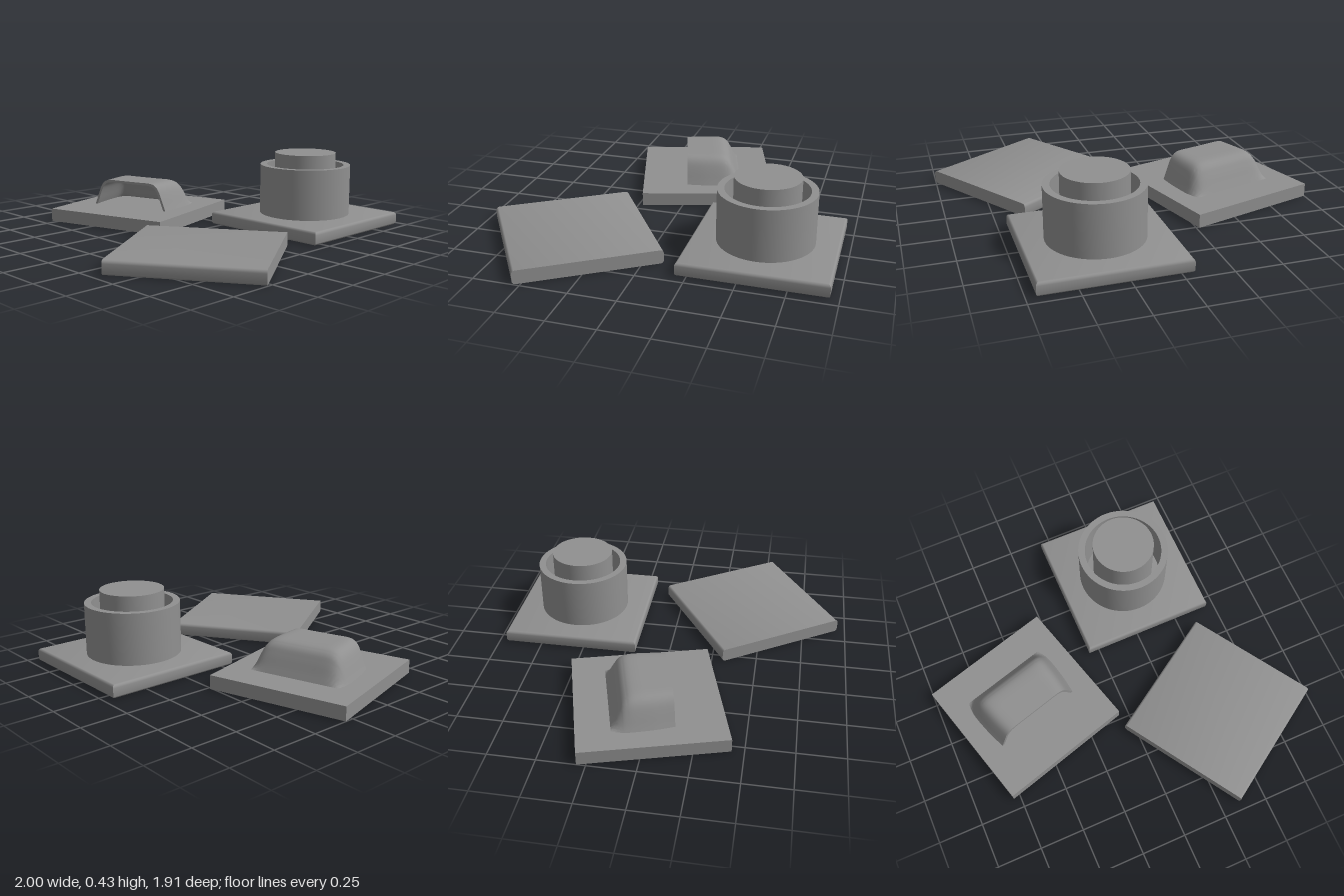
import * as THREE from 'three';
import { toCreasedNormals } from 'three/addons/utils/BufferGeometryUtils.js';

const SIZE = 0.764, THICK = 0.075;
const material = new THREE.MeshStandardMaterial({ color: 0x909090 });

function add(group, name, geometry) {
  const mesh = new THREE.Mesh(geometry, material);
  mesh.name = name;
  group.add(mesh);
  return mesh;
}

// Square slab; rx / rz round the edges on its x / z sides, with mitred corners
function slab(rx, rz) {
  const r = Math.max(rx, rz);
  if (!r) return new THREE.BoxGeometry(SIZE, THICK, SIZE).translate(0, THICK / 2, 0);
  const rows = 11;
  const geo = new THREE.BoxGeometry(SIZE, THICK, SIZE, 1, rows, 1);
  const p = geo.attributes.position;
  for (let i = 0; i < p.count; i++) {
    const row = Math.round((p.getY(i) / THICK + 0.5) * rows);
    const upper = row > 5;
    const a = ((upper ? rows - row : row) / 5) * Math.PI / 2;
    const rise = r * (1 - Math.cos(a)), inset = 1 - Math.sin(a);
    p.setXYZ(i,
      Math.sign(p.getX(i)) * (SIZE / 2 - rx * inset),
      upper ? THICK - rise : rise,
      Math.sign(p.getZ(i)) * (SIZE / 2 - rz * inset));
  }
  return toCreasedNormals(geo, 0.6);
}

// Thin scoop: arched sections swept from the closed back to the open front
function scoopShell() {
  const wall = 0.014, height = 0.156, nu = 40, nv = 28;
  const half = [[1, 0], [0.95, 0.2], [0.88, 0.5], [0.8, 0.78], [0.7, 0.94], [0.55, 1], [0.25, 1]];
  const arch = new THREE.SplineCurve([
    ...half.map(([x, y]) => new THREE.Vector2(-x, y)),
    ...half.slice().reverse().map(([x, y]) => new THREE.Vector2(x, y)),
  ]);
  // Each station: z, height fraction, half width
  const spine = new THREE.CatmullRomCurve3([
    [-0.203, 0, 0.25], [-0.183, 0.24, 0.256], [-0.153, 0.62, 0.264], [-0.125, 0.87, 0.268],
    [-0.09, 0.975, 0.269], [-0.05, 1, 0.268], [0.02, 1, 0.264], [0.119, 1, 0.252],
  ].map((s) => new THREE.Vector3(...s)));

  const pos = [], index = [];
  const row = (t, inner) => {
    const s = spine.getPoint(t);
    const w = s.z - (inner ? wall : 0);
    const h = Math.max(0, s.y * height - (inner ? wall : 0));
    const z = s.x + (inner ? wall * (1 - t) : 0);
    for (let i = 0; i <= nu; i++) {
      const a = arch.getPoint(i / nu);
      pos.push(a.x * w, a.y * h, z);
    }
  };
  for (let j = 0; j <= nv; j++) row(j / nv, false);
  for (let j = nv; j >= 0; j--) row(j / nv, true);
  for (let j = 0; j < 2 * nv + 1; j++) {
    for (let i = 0; i < nu; i++) {
      const a = j * (nu + 1) + i, b = a + nu + 1;
      index.push(a, b, a + 1, b, b + 1, a + 1);
    }
  }
  const geo = new THREE.BufferGeometry();
  geo.setAttribute('position', new THREE.Float32BufferAttribute(pos, 3));
  geo.setIndex(index);
  return toCreasedNormals(geo, 0.8);
}

// Round collar with a bore
function collar(outer, inner, y0, y1) {
  const pts = [[inner, y0], [outer, y0], [outer, y1], [inner, y1], [inner, y0]];
  const geo = new THREE.LatheGeometry(pts.map(([x, y]) => new THREE.Vector2(x, y)), 64);
  return toCreasedNormals(geo, 0.6);
}

export function createModel() {
  const model = new THREE.Group();
  const place = (name, x, z, turn) => {
    const g = new THREE.Group();
    g.name = name;
    g.position.set(x, 0, z);
    g.rotation.y = turn;
    model.add(g);
    return g;
  };

  // Tile with a push button inside a collar
  const button = place('buttonTile', 0.319, -0.573, 0);
  add(button, 'buttonBase', slab(0.018, 0.018));
  add(button, 'buttonCollar', collar(0.258, 0.22, THICK - 0.005, 0.358));
  add(button, 'buttonPlunger', new THREE.CylinderGeometry(0.174, 0.174, 0.357, 64))
    .position.y = 0.2485;

  // Tile with a hooded scoop
  const scoop = place('scoopTile', -0.527, -0.036, 0.281);
  add(scoop, 'scoopBase', slab(0, 0));
  add(scoop, 'scoopHood', scoopShell()).position.y = THICK;

  // Plain tile with two opposite rounded edges
  const plain = place('plainTile', 0.473, 0.425, 0.576);
  add(plain, 'plainBase', slab(0, 0.018));

  return model;
}
